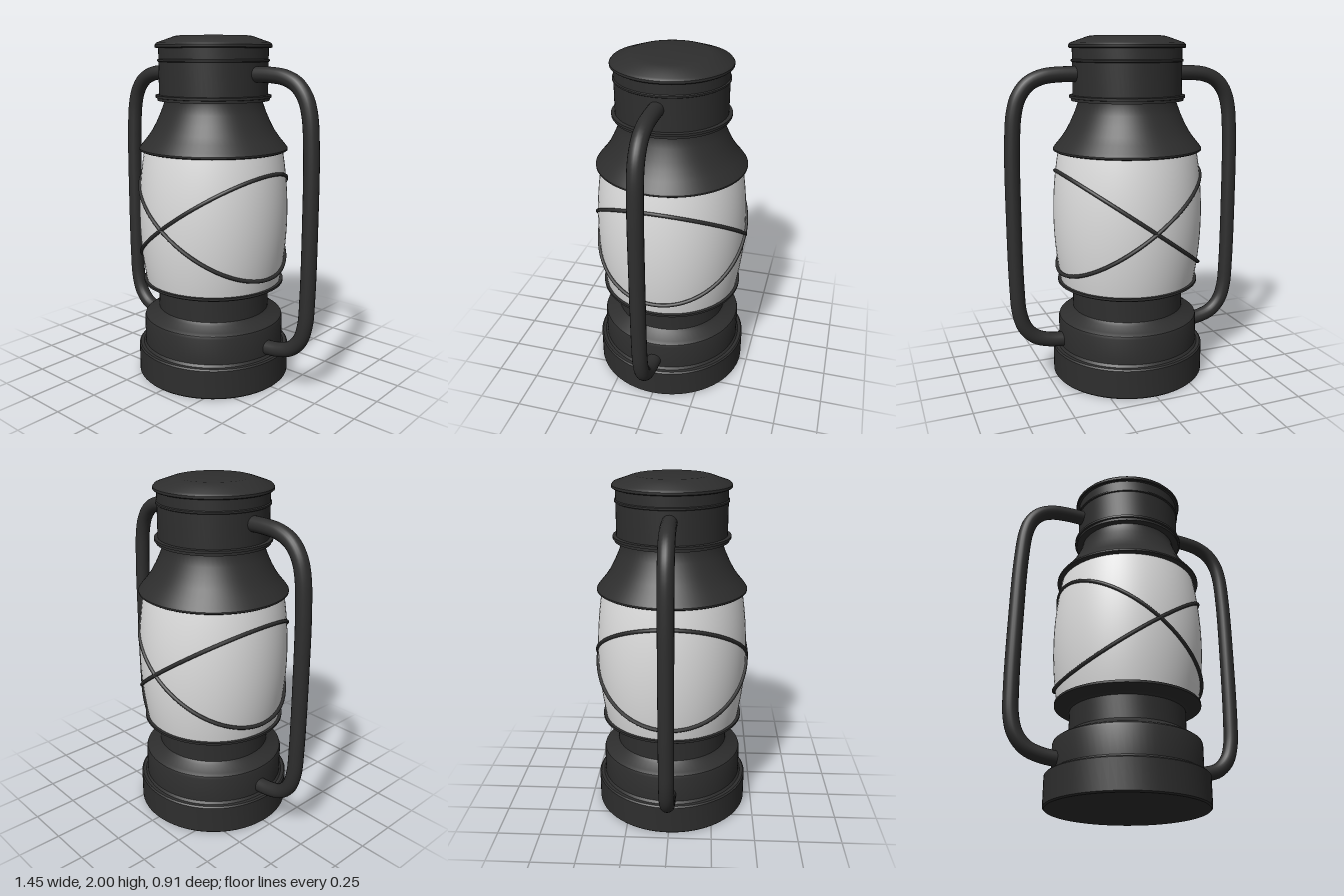
import * as THREE from 'three';
import { toCreasedNormals } from 'three/addons/utils/BufferGeometryUtils.js';

export function createModel() {
  const group = new THREE.Group();
  const metal = new THREE.MeshStandardMaterial({ color: 0x2e2e2e });
  metal.name = 'dark metal';
  const frosted = new THREE.MeshStandardMaterial({ color: 0xdedede });
  frosted.name = 'frosted glass';

  const add = (name, geometry, material) => {
    const mesh = new THREE.Mesh(geometry, material);
    mesh.name = name;
    group.add(mesh);
    return mesh;
  };
  // Turned part from [radius, height] pairs, listed bottom to top
  const turned = (name, profile, material = metal) => {
    const points = profile.map(([r, y]) => new THREE.Vector2(r, y));
    add(name, toCreasedNormals(new THREE.LatheGeometry(points, 72), 0.6), material);
  };

  // Foot, fuel tank and the collar that holds the glass
  turned('base', [
    [0, 0], [0.447, 0], [0.455, 0.008], [0.455, 0.172], [0.447, 0.18], [0.428, 0.181],
    [0.418, 0.195], [0.418, 0.345], [0.413, 0.36], [0.395, 0.373], [0.345, 0.395],
    [0.33, 0.412], [0.33, 0.54], [0.342, 0.552], [0.405, 0.566], [0.418, 0.574],
    [0.418, 0.587], [0.39, 0.587], [0, 0.587],
  ]);

  // Barrel-shaped glass
  const glass = [];
  for (let i = 0; i <= 20; i++) {
    const t = i / 20;
    const s = 2 * t - 1;
    glass.push([0.437 - 0.037 * s * s, 0.58 + 0.79 * t]);
  }
  turned('glass', glass, frosted);

  // Flared hood above the glass
  turned('hood', [
    [0, 1.357], [0.42, 1.357], [0.43, 1.363], [0.43, 1.372], [0.417, 1.39], [0.385, 1.428],
    [0.355, 1.47], [0.328, 1.52], [0.303, 1.575], [0.283, 1.63], [0.283, 1.65],
  ]);

  // Chimney with lower flange, bead and cap
  turned('chimney', [
    [0.27, 1.642], [0.322, 1.642], [0.322, 1.656], [0.332, 1.658], [0.332, 1.672],
    [0.312, 1.674], [0.312, 1.856], [0.319, 1.86], [0.319, 1.869], [0.312, 1.873],
    [0.312, 1.935],
  ]);
  turned('cap', [
    [0.3, 1.932], [0.326, 1.932], [0.332, 1.937], [0.332, 1.95], [0.322, 1.962],
    [0.228, 1.995], [0.208, 2], [0, 2],
  ]);

  // Two tilted wire hoops crossing at the front and back
  for (const side of [-1, 1]) {
    const points = [];
    for (let i = 0; i < 48; i++) {
      const a = (i / 48) * Math.PI * 2;
      points.push(new THREE.Vector3(
        0.42 * Math.cos(a), 0.953 + side * 0.298 * Math.cos(a), 0.44 * Math.sin(a)));
    }
    const path = new THREE.CatmullRomCurve3(points, true);
    add(side < 0 ? 'wireHoopFalling' : 'wireHoopRising',
      new THREE.TubeGeometry(path, 120, 0.011, 8, true), metal);
  }

  // Side handles running from tank to chimney
  const handle = [
    [0.28, 1.792], [0.42, 1.79], [0.5, 1.779], [0.575, 1.745], [0.63, 1.68], [0.66, 1.59],
    [0.677, 1.4], [0.683, 1], [0.68, 0.6], [0.67, 0.44], [0.64, 0.345], [0.58, 0.28],
    [0.5, 0.25], [0.38, 0.235],
  ];
  for (const side of [-1, 1]) {
    const path = new THREE.CatmullRomCurve3(
      handle.map(([x, y]) => new THREE.Vector3(side * x, y, 0)));
    add(side < 0 ? 'rightHandle' : 'leftHandle',
      new THREE.TubeGeometry(path, 96, 0.043, 20), metal);
  }

  return group;
}
